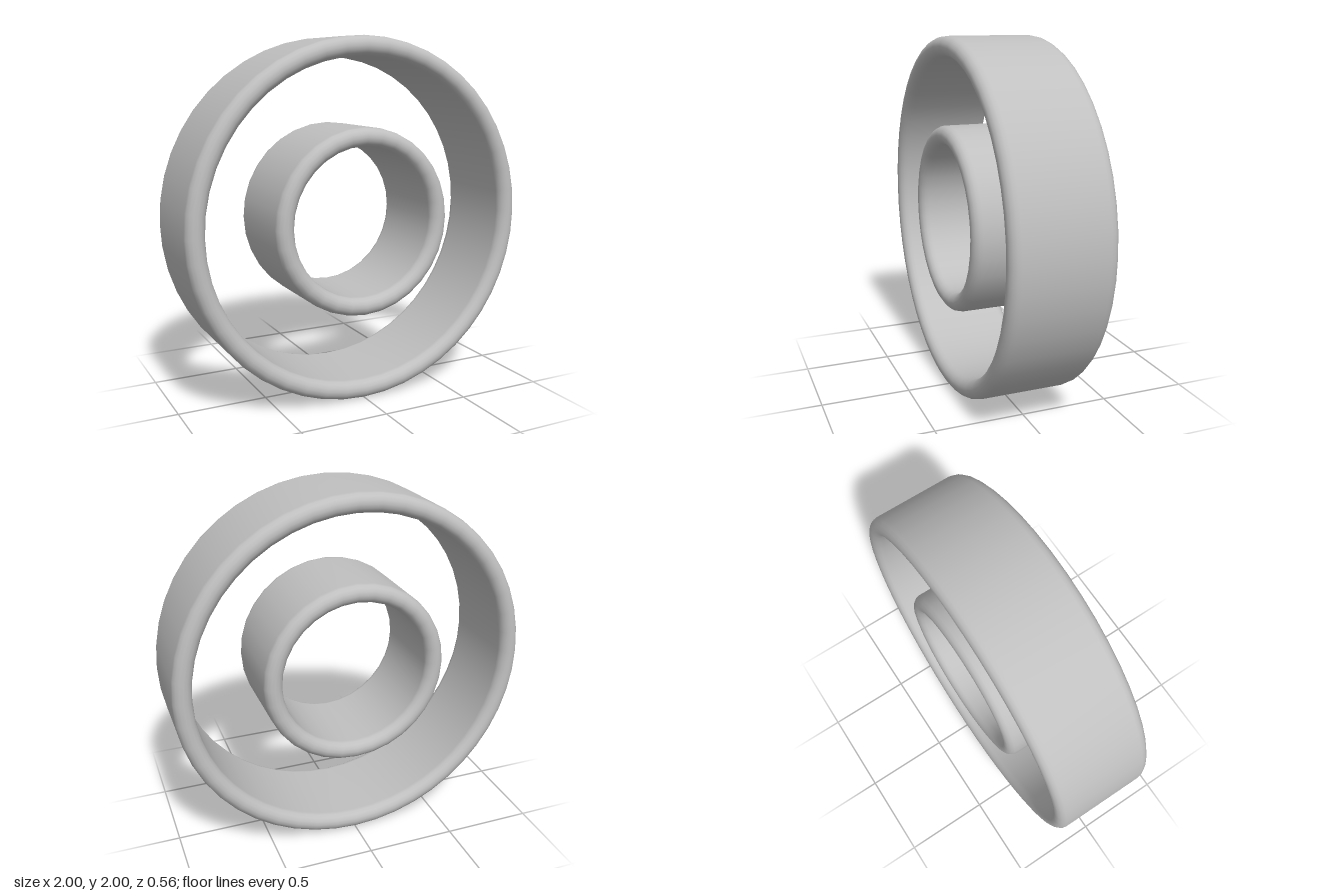
import * as THREE from 'three';

// Band with a flat wall and rounded rims, turned about the z axis
function makeBand(name, inner, outer, halfDepth, segments, material) {
  const r = (outer - inner) / 2;
  const mid = (outer + inner) / 2;
  const y = halfDepth - r;
  const steps = 8;
  const profile = [new THREE.Vector2(outer, 0)];
  // front rim, then back rim
  for (const side of [0, 1]) {
    for (let i = 0; i <= steps; i++) {
      const a = Math.PI * (side + i / steps);
      profile.push(new THREE.Vector2(mid + r * Math.cos(a), (side ? -y : y) + r * Math.sin(a)));
    }
  }
  profile.push(new THREE.Vector2(outer, 0));
  const geometry = new THREE.LatheGeometry(profile, segments);
  geometry.rotateX(Math.PI / 2);
  const mesh = new THREE.Mesh(geometry, material);
  mesh.name = name;
  mesh.position.y = 1;
  return mesh;
}

export function createModel() {
  const grey = new THREE.MeshStandardMaterial({ color: 0xc0c0c0 });
  grey.name = 'light grey';
  const group = new THREE.Group();
  group.name = 'concentricRings';
  group.add(makeBand('outerRing', 0.893, 1, 0.282, 48, grey));
  group.add(makeBand('innerRing', 0.417, 0.52, 0.282, 32, grey));
  return group;
}
